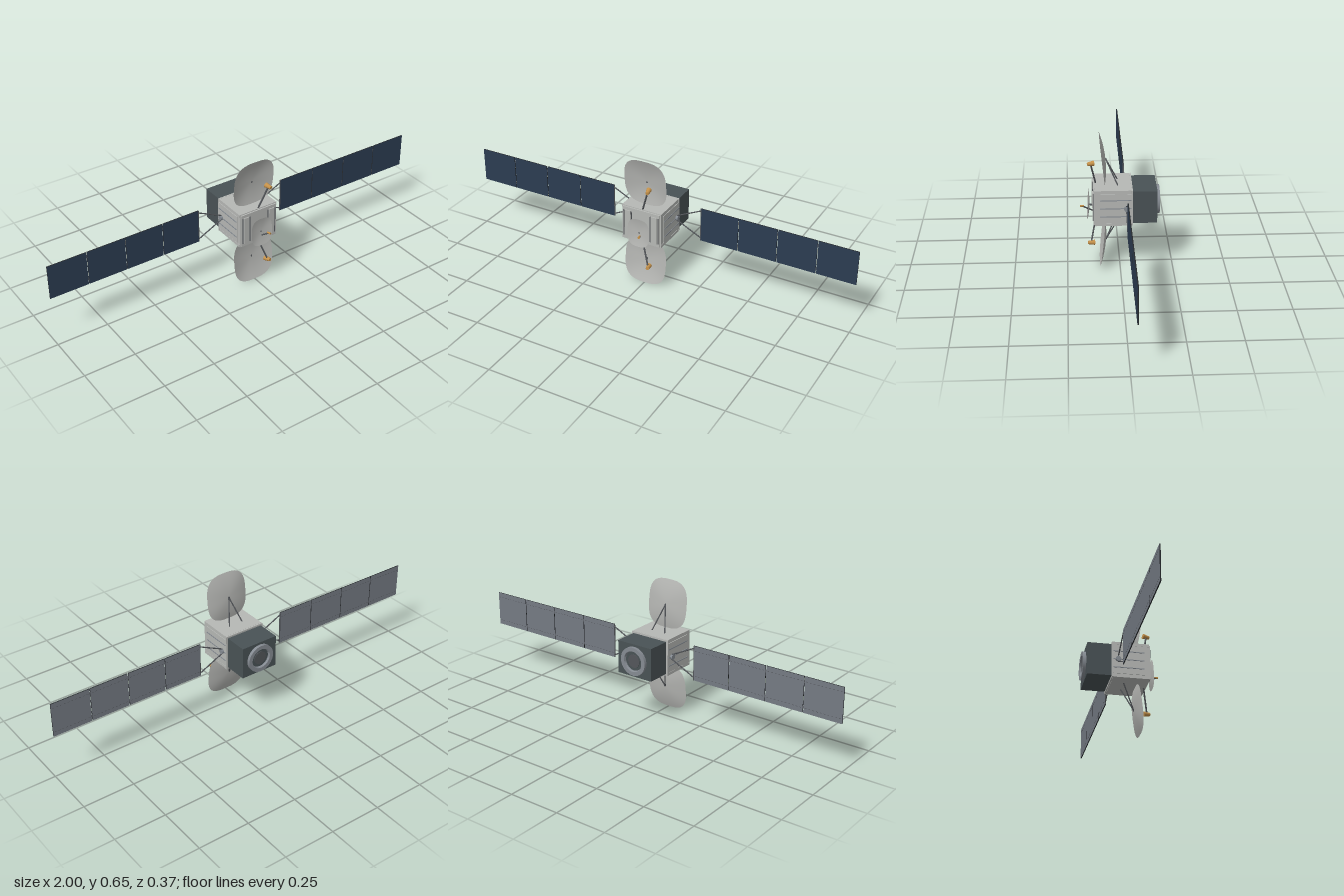
import * as THREE from 'three';
import { toCreasedNormals } from 'three/addons/utils/BufferGeometryUtils.js';

const mat = (name, color, side = THREE.FrontSide) => {
  const m = new THREE.MeshStandardMaterial({ color, side });
  m.name = name;
  return m;
};

export function createModel() {
  const silver = mat('silver body', 0xb6b8b5);
  const dishGrey = mat('dish grey', 0xb4b5b2, THREE.DoubleSide);
  const slate = mat('dark slate', 0x495255);
  const steel = mat('steel', 0x858b92, THREE.DoubleSide);
  const strutGrey = mat('strut grey', 0x53565a);
  const gold = mat('gold', 0xc4914a);
  const cellBlue = mat('solar cell blue', 0x2c3c51);
  const backGrey = mat('panel back grey', 0x747a83);
  const black = mat('near black', 0x26292c);

  const root = new THREE.Group();
  root.name = 'satellite';
  const MID = 0.328; // height of the body axis
  const WING_Z = -0.028;
  const V = (x, y, z) => new THREE.Vector3(x, y, z);

  const add = (name, geo, material, x = 0, y = 0, z = 0, parent = root) => {
    const m = new THREE.Mesh(geo, material);
    m.name = name;
    m.position.set(x, y, z);
    parent.add(m);
    return m;
  };
  const box = (name, w, h, d, material, x, y, z, parent) =>
    add(name, new THREE.BoxGeometry(w, h, d), material, x, y, z, parent);
  // Round bar or cone running from a to b
  const bar = (name, a, b, r, material, rEnd = r, sides = 10, parent = root) => {
    const dir = b.clone().sub(a);
    const m = add(name, new THREE.CylinderGeometry(rEnd, r, dir.length(), sides), material, 0, 0, 0, parent);
    m.position.copy(a).add(b).multiplyScalar(0.5);
    m.quaternion.setFromUnitVectors(V(0, 1, 0), dir.normalize());
    return m;
  };

  // Main body with front plate and rear flange
  box('body', 0.204, 0.174, 0.172, silver, 0, MID, 0.032);
  box('frontPlate', 0.196, 0.17, 0.008, silver, 0, MID, 0.121);
  box('rearFlange', 0.21, 0.178, 0.006, silver, 0, MID, -0.054);
  for (const s of [-1, 1]) {
    box('edgeRail', 0.206, 0.014, 0.168, silver, 0, MID + s * 0.082, 0.034);
    box('sidePanel', 0.004, 0.142, 0.15, silver, s * 0.103, MID, 0.023);
    for (const dy of [-0.041, 0, 0.041])
      box('sideRib', 0.003, 0.004, 0.146, steel, s * 0.1058, MID + dy, 0.022);
    box('frontPanel', 0.03, 0.14, 0.006, silver, s * 0.07, MID, 0.127);
    for (const x of [0.05, 0.09])
      box('frontGroove', 0.004, 0.136, 0.004, strutGrey, s * x, MID, 0.1255);
  }

  // Rear module and engine ring
  box('rearModule', 0.19, 0.16, 0.114, slate, 0, MID, -0.114);
  const ringProfile = [[0.069, 0], [0.069, 0.0145], [0.05, 0.0145], [0.046, 0.003]]
    .map(([r, y]) => new THREE.Vector2(r, y));
  const ring = add('engineRing', toCreasedNormals(new THREE.LatheGeometry(ringProfile, 40), 0.6), steel, 0, MID, -0.171);
  ring.rotation.x = -Math.PI / 2;
  bar('engineRecess', V(0, MID, -0.17), V(0, MID, -0.175), 0.048, slate, 0.048, 40);
  bar('engineCore', V(0, MID, -0.174), V(0, MID, -0.178), 0.032, strutGrey, 0.032, 32);

  // Shallow bowl with a rounded-square rim lying in its local z = 0 plane
  const dish = (name, hw, hh, depth, y, z, tilt) => {
    const geo = new THREE.RingGeometry(0.002, 1, 64, 10);
    const p = geo.attributes.position;
    for (let i = 0; i < p.count; i++) {
      const x = p.getX(i), v = p.getY(i), r = Math.hypot(x, v), n = 3;
      const k = (Math.abs(x / r) ** n + Math.abs(v / r) ** n) ** (-1 / n);
      p.setXYZ(i, x * k * hw, v * k * hh, depth * (r * r - 1));
    }
    geo.computeVertexNormals();
    const m = add(name, geo, dishGrey, 0, y, z);
    m.rotation.x = tilt;
  };

  // Upper and lower main antennas
  for (const s of [1, -1]) {
    const Y = (dy) => MID + s * dy;
    dish('mainDish', 0.109, 0.117, 0.0165, Y(0.2085), 0.0825, s * 0.107);
    for (const x of [-0.038, 0.038])
      bar('dishStrut', V(x, Y(0.085), 0.009), V(0, Y(0.207), 0.065), 0.003, strutGrey);
    bar('dishHub', V(0, Y(0.207), 0.062), V(0, Y(0.207), 0.068), 0.004, strutGrey);
    bar('feedArm', V(0.002, Y(0.083), 0.112), V(0.043, Y(0.2), 0.136), 0.004, strutGrey);
    bar('feedHorn', V(0.048, Y(0.2005), 0.151), V(0.041, Y(0.2035), 0.12), 0.008, gold, 0.0125, 20);
  }

  // Small front antenna
  dish('frontDish', 0.057, 0.071, 0.008, 0.3055, 0.15, -0.05);
  bar('frontDishMount', V(0, 0.301, 0.12), V(0, 0.304, 0.143), 0.004, strutGrey);
  bar('frontFeedArm', V(-0.006, 0.268, 0.122), V(0.02, 0.305, 0.175), 0.0035, strutGrey);
  bar('frontFeedHorn', V(0.023, 0.307, 0.186), V(0.018, 0.306, 0.168), 0.0055, gold, 0.0035, 16);

  // Solar wings: hub, yoke and four hinged panels on each side
  const H = 0.17, T = 0.005, START = 0.234, PITCH = 0.1925, W = 0.1885;
  const panelFaces = [black, black, black, black, cellBlue, backGrey];
  for (const s of [1, -1]) {
    const wing = new THREE.Group();
    wing.name = s > 0 ? 'leftWing' : 'rightWing';
    root.add(wing);
    bar('wingHub', V(s * 0.1, MID, WING_Z), V(s * 0.116, MID, WING_Z), 0.0125, steel, 0.0125, 12, wing);
    for (const t of [1, -1])
      bar('yokeBar', V(s * 0.108, MID + t * 0.012, WING_Z), V(s * 0.236, MID + t * 0.074, WING_Z),
        0.003, strutGrey, 0.003, 8, wing);
    box('yokeCrossbar', 0.004, H, 0.005, strutGrey, s * (START - 0.001), MID, WING_Z, wing);
    for (let i = 0; i < 4; i++) {
      const x = START + i * PITCH + W / 2;
      box('solarPanel', W, H, T, panelFaces, s * x, MID, WING_Z, wing);
      for (const t of [1, -1]) {
        if (i < 3)
          box('hinge', PITCH - W + 0.002, 0.012, 0.004, strutGrey, s * (x + PITCH / 2), MID + t * 0.06, WING_Z, wing);
        // Row of small fasteners on the back
        for (let j = 0; j < 10; j++)
          box('backFastener', 0.008, 0.002, 0.001, strutGrey,
            s * (x + (j - 4.5) * 0.0185), MID + t * 0.062, WING_Z - T / 2 - 0.0003, wing);
      }
    }
  }
  return root;
}
